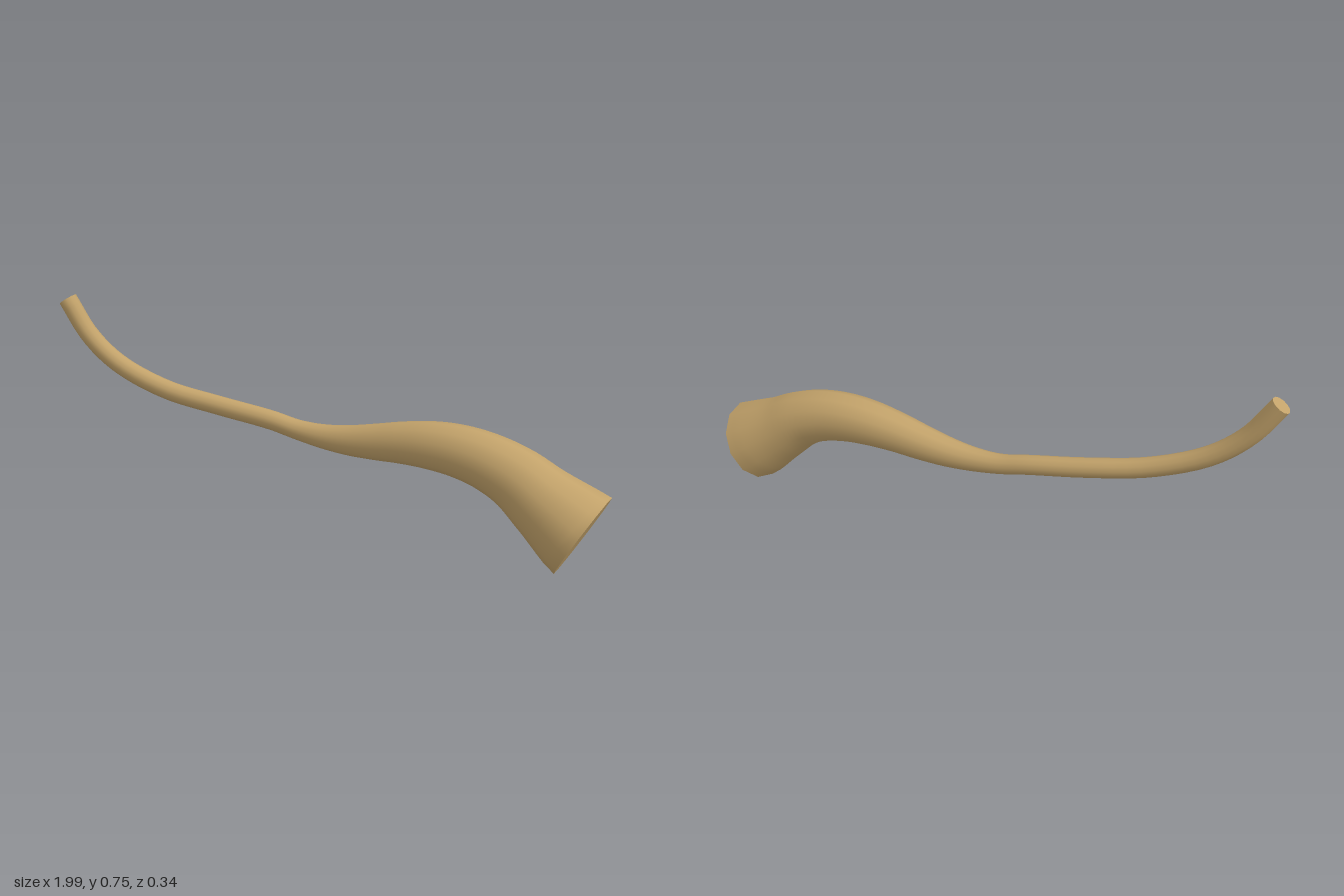
import * as THREE from 'three';
import { toCreasedNormals } from 'three/addons/utils/BufferGeometryUtils.js';

const SIDES = 12;
const STEPS = 72;
const TWIST = 0.13;

// Centreline stations from the thin tip to the broad end: x, y, z, radius
const stations = [
  [-0.97, 0.729, 0.135, 0.034], [-0.89, 0.602, 0.12, 0.034], [-0.78, 0.505, 0.1, 0.034],
  [-0.6, 0.425, 0.068, 0.034], [-0.4, 0.383, 0.03, 0.034], [-0.2, 0.35, 0, 0.034],
  [-0.1, 0.328, -0.009, 0.035], [0, 0.318, -0.012, 0.042], [0.1, 0.319, -0.014, 0.052],
  [0.2, 0.329, -0.015, 0.062], [0.3, 0.342, -0.015, 0.071], [0.4, 0.349, -0.015, 0.08],
  [0.5, 0.345, -0.015, 0.087], [0.6, 0.325, -0.015, 0.094], [0.7, 0.284, -0.016, 0.104],
  [0.79, 0.222, -0.018, 0.12], [0.922, 0.131, -0.021, 0.15],
];

// Sweeps a ring of changing radius along the centreline and closes both ends
function sweptStem() {
  const path = new THREE.CatmullRomCurve3(stations.map(s => new THREE.Vector3(s[0], s[1], s[2])));
  const radii = new THREE.SplineCurve(stations.map(s => new THREE.Vector2(s[0], s[3])));
  const positions = [];
  const index = [];
  const worldUp = new THREE.Vector3(0, 1, 0);

  for (let i = 0; i <= STEPS; i++) {
    const t = i / STEPS;
    const centre = path.getPoint(t);
    const tangent = path.getTangent(t);
    if (i === STEPS) tangent.set(0.872, -0.489, 0);
    const side = new THREE.Vector3().crossVectors(tangent, worldUp).normalize();
    const up = new THREE.Vector3().crossVectors(side, tangent).normalize();
    const radius = radii.getPoint(t).y;
    for (let j = 0; j < SIDES; j++) {
      const angle = (j / SIDES) * Math.PI * 2 + TWIST;
      const p = centre.clone()
        .addScaledVector(up, Math.cos(angle) * radius)
        .addScaledVector(side, Math.sin(angle) * radius);
      positions.push(p.x, p.y, p.z);
    }
  }

  const at = (i, j) => i * SIDES + (j % SIDES);
  for (let i = 0; i < STEPS; i++) {
    for (let j = 0; j < SIDES; j++) {
      const a = at(i, j), b = at(i, j + 1), c = at(i + 1, j), d = at(i + 1, j + 1);
      index.push(a, b, c, b, d, c);
    }
  }

  // Flat end caps
  for (let j = 1; j < SIDES - 1; j++) {
    index.push(at(0, 0), at(0, j + 1), at(0, j));
    index.push(at(STEPS, 0), at(STEPS, j), at(STEPS, j + 1));
  }

  const geometry = new THREE.BufferGeometry();
  geometry.setAttribute('position', new THREE.Float32BufferAttribute(positions, 3));
  geometry.setIndex(index);
  return toCreasedNormals(geometry, 0.9);
}

export function createModel() {
  const tan = new THREE.MeshStandardMaterial({ color: 0xc2a26a });
  tan.name = 'tan wood';

  const model = new THREE.Group();
  model.name = 'curvedStem';
  const stem = new THREE.Mesh(sweptStem(), tan);
  stem.name = 'stem';
  model.add(stem);
  return model;
}
